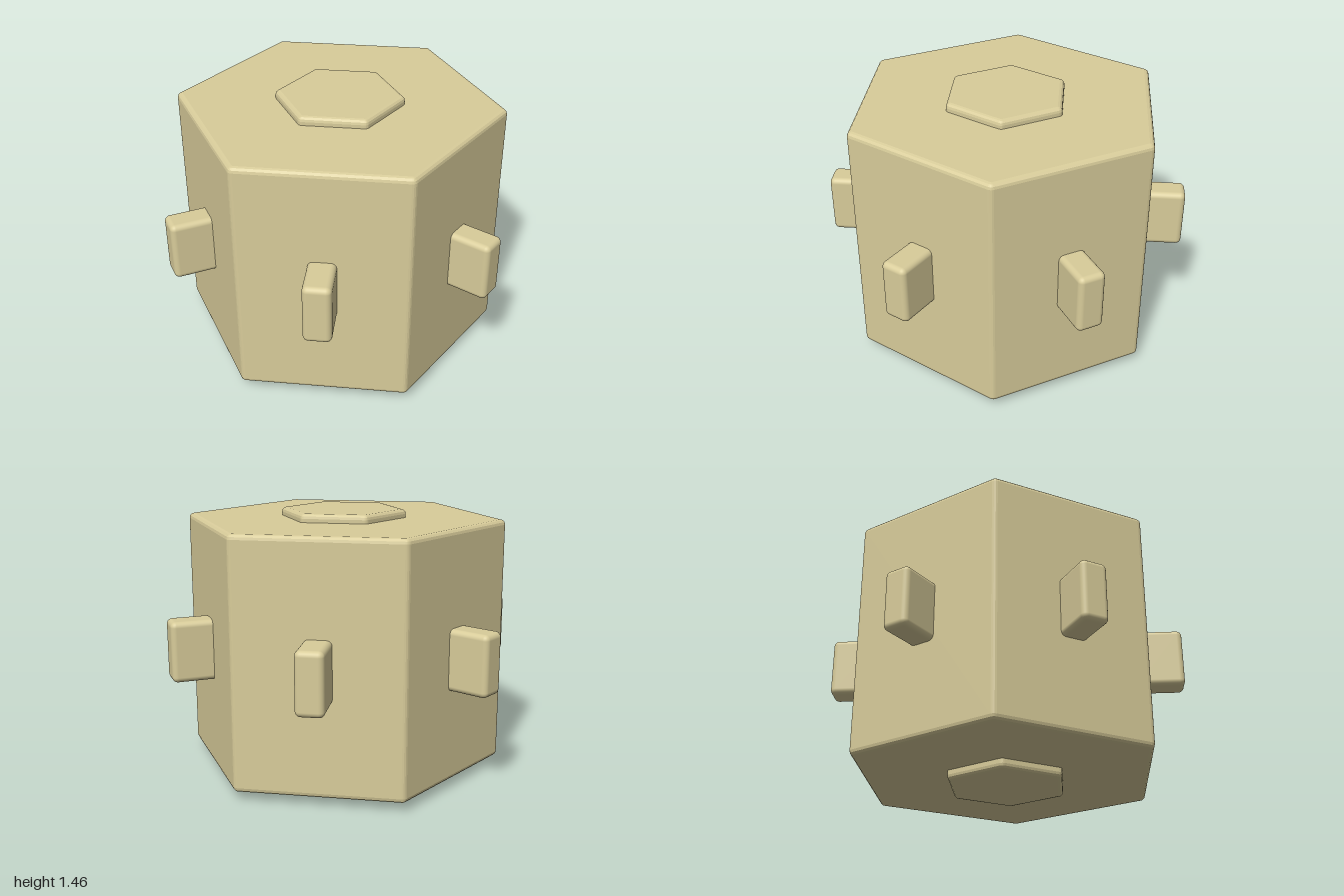
import * as THREE from 'three';
import { RoundedBoxGeometry } from 'three/addons/geometries/RoundedBoxGeometry.js';

// Hexagonal prism with softened edges, flats facing +x and -x, from y0 to y1
function hexPrism(apothem, y0, y1, bevel, cornerRadius) {
  const shape = new THREE.Shape();
  const centreDist = (apothem - cornerRadius) / Math.cos(Math.PI / 6);
  const steps = 3;
  for (let i = 0; i < 6; i++) {
    const a = Math.PI / 6 + i * Math.PI / 3;
    for (let k = 0; k <= steps; k++) {
      const t = a + (k / steps - 0.5) * Math.PI / 3;
      const x = centreDist * Math.cos(a) + cornerRadius * Math.cos(t);
      const y = centreDist * Math.sin(a) + cornerRadius * Math.sin(t);
      if (i === 0 && k === 0) shape.moveTo(x, y);
      else shape.lineTo(x, y);
    }
  }
  shape.closePath();
  const geometry = new THREE.ExtrudeGeometry(shape, {
    depth: y1 - y0 - 2 * bevel,
    bevelEnabled: true,
    bevelThickness: bevel,
    bevelSize: bevel,
    bevelOffset: -bevel,
    bevelSegments: 3,
  });
  geometry.rotateX(-Math.PI / 2);
  geometry.translate(0, y0 + bevel, 0);
  return geometry;
}

export function createModel() {
  const model = new THREE.Group();
  model.name = 'studdedHexagonalPrism';
  const sand = new THREE.MeshStandardMaterial({ color: 0xd8cc9a });
  sand.name = 'sand';

  const add = (name, geometry) => {
    const mesh = new THREE.Mesh(geometry, sand);
    mesh.name = name;
    model.add(mesh);
    return mesh;
  };

  // Main body
  add('body', hexPrism(0.775, 0.05, 1.41, 0.027, 0.03));

  // Raised hexagonal plates on both ends
  add('topPlate', hexPrism(0.305, 1.355, 1.455, 0.025, 0.027));
  add('bottomPlate', hexPrism(0.305, 0, 0.1, 0.025, 0.027));

  // One peg in the middle of each side
  const pegGeometry = new RoundedBoxGeometry(0.27, 0.335, 0.15, 3, 0.03);
  pegGeometry.translate(0.865, 0.7275, 0);
  for (let i = 0; i < 6; i++) {
    add(`sidePeg${i + 1}`, pegGeometry).rotation.y = i * Math.PI / 3;
  }
  return model;
}
